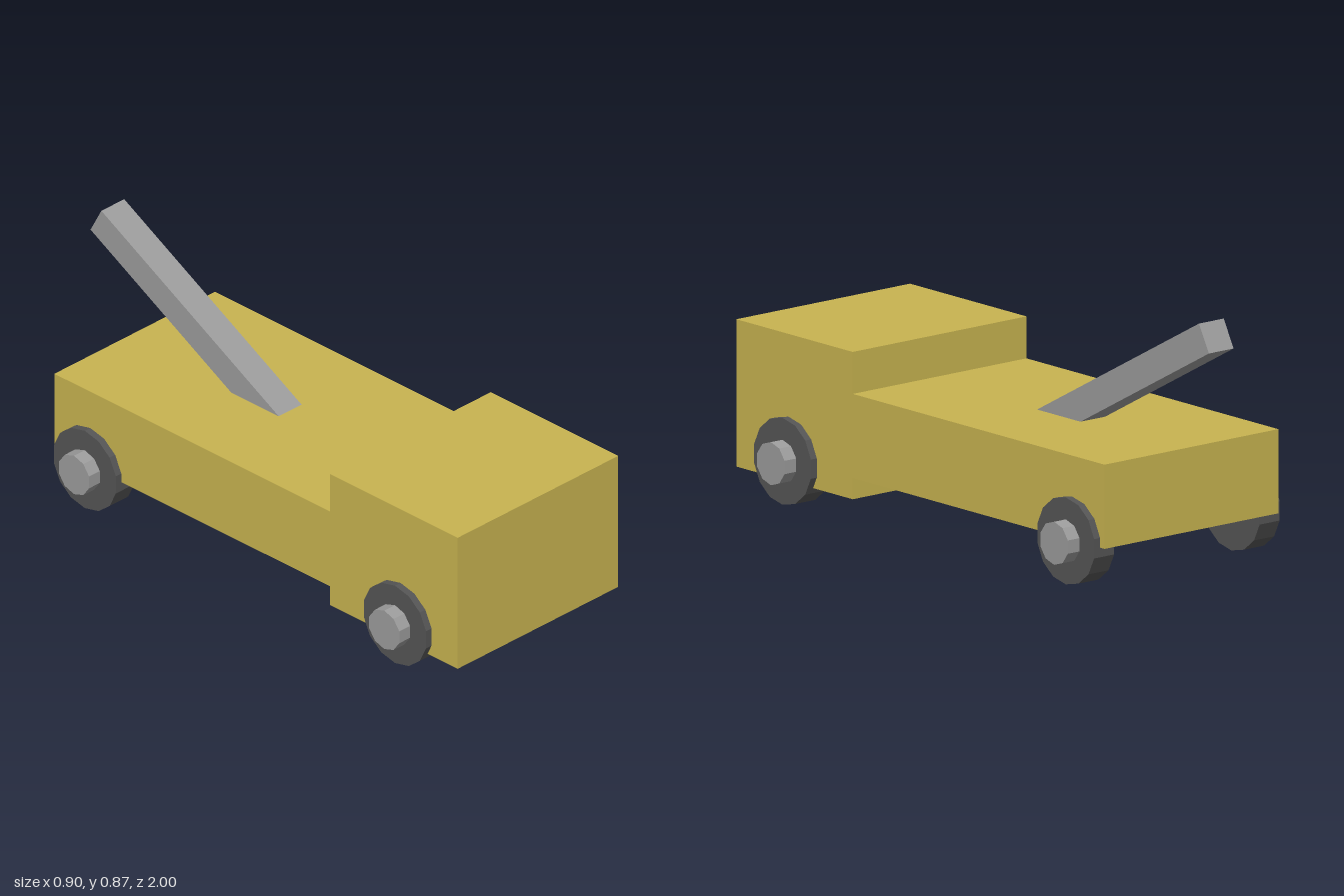
import * as THREE from 'three';

export function createModel() {
  const model = new THREE.Group();
  const paint = new THREE.MeshStandardMaterial({ color: 0xc8b450, flatShading: true, name: 'yellowPaint' });
  const rubber = new THREE.MeshStandardMaterial({ color: 0x555555, flatShading: true, name: 'darkRubber' });
  const steel = new THREE.MeshStandardMaterial({ color: 0x9c9c9c, flatShading: true, name: 'greySteel' });

  const add = (name, geometry, material, x, y, z, parent = model) => {
    const mesh = new THREE.Mesh(geometry, material);
    mesh.name = name;
    mesh.position.set(x, y, z);
    parent.add(mesh);
    return mesh;
  };

  // Box body: tall cab in front, lower bed behind
  const width = 0.745;
  add('cab', new THREE.BoxGeometry(width, 0.495, 0.585), paint, 0, 0.3225, 0.7075);
  add('bed', new THREE.BoxGeometry(width, 0.283, 1.265), paint, 0, 0.2875, -0.2175);

  // Square boom rising towards the back, its foot sunk in the bed
  const tilt = THREE.MathUtils.degToRad(28.5);
  const length = 1.0;
  const boom = add('boom', new THREE.BoxGeometry(0.106, 0.104, length), steel,
    0, 0.825 - Math.sin(tilt) * length / 2, -0.975 + Math.cos(tilt) * length / 2);
  boom.rotation.x = tilt;

  // Faceted wheels with protruding hubs, one corner pointing straight up
  const disc = (radius, depth, sides) =>
    new THREE.CylinderGeometry(radius, radius, depth, sides).rotateX(Math.PI).rotateZ(Math.PI / 2);
  const tyre = disc(0.146, 0.086, 14);
  const hub = disc(0.0725, 0.06, 10);
  // Turn the discs so their first corner is at the top
  for (const g of [tyre, hub]) {
    const p = g.attributes.position;
    g.rotateX(Math.atan2(p.getZ(0), p.getY(0)) * -1);
  }
  for (const [end, z] of [['front', 0.738], ['rear', -0.685]]) {
    for (const [side, s] of [['Left', 1], ['Right', -1]]) {
      const wheel = new THREE.Group();
      wheel.name = `${end}${side}Wheel`;
      wheel.position.set(0, 0.146, z);
      model.add(wheel);
      add('tyre', tyre, rubber, s * 0.355, 0, 0, wheel);
      add('hub', hub, steel, s * 0.418, 0, 0, wheel);
    }
  }
  return model;
}
